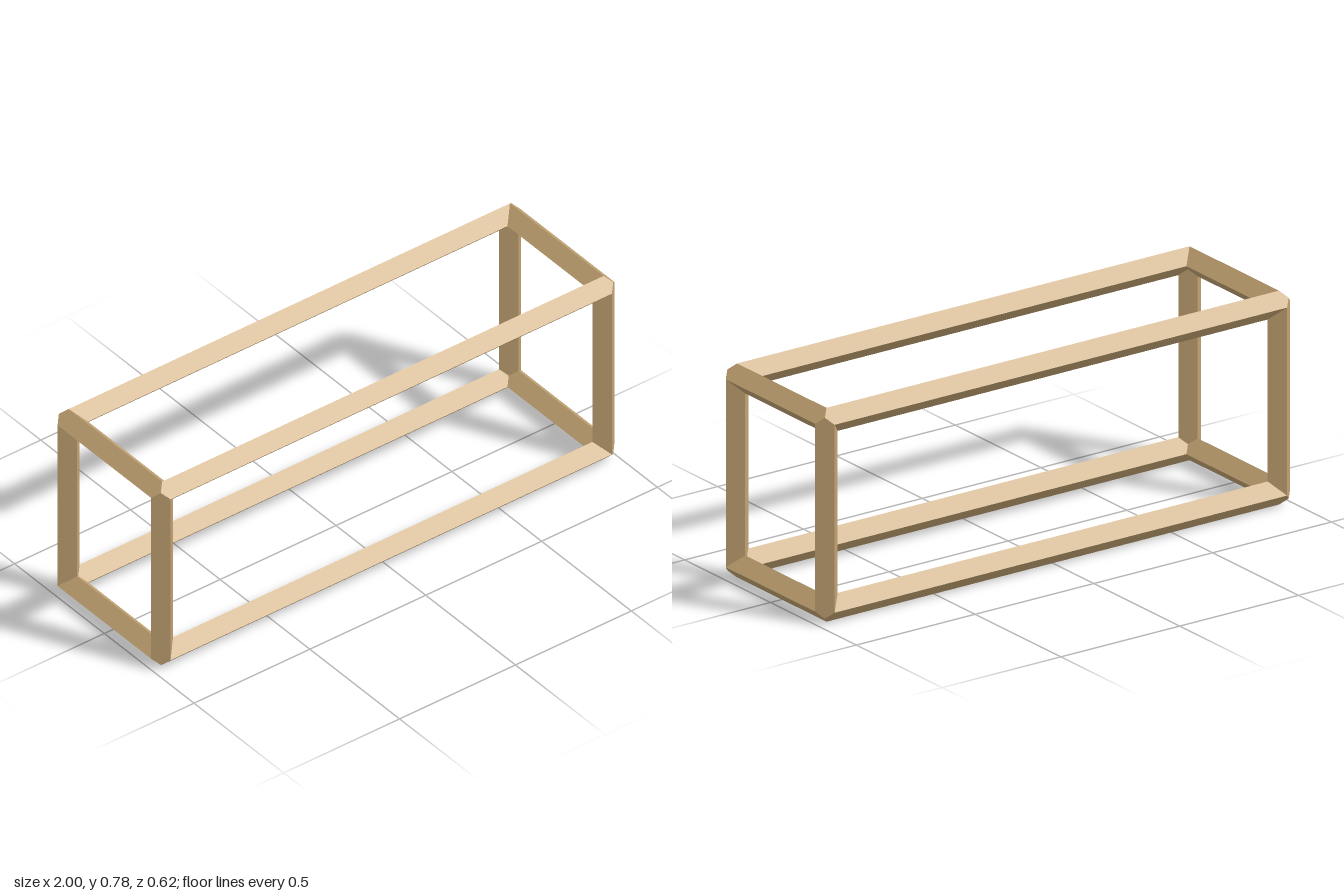
import * as THREE from 'three';

const R = 0.0475; // half diagonal of the square bars, which stand on edge
const HALF = [1 - R, 0.391 - R, 0.308 - R]; // centreline half sizes in x, y, z
const AXIS_NAMES = ['long', 'upright', 'cross'];

// Mitred end section of a bar: offsets (along, v, w) from the frame corner
const H = R / 2;
const SECTION = [
  [0, R, 0], [H, H, H], [0, 0, R],
  [-R, -R, 0], [-H, -H, -H], [-R, 0, -R],
];

// One bar along the given axis, on the sv / sw side of the other two axes
function barGeometry(axis, sv, sw) {
  const v = (axis + 1) % 3;
  const w = (axis + 2) % 3;
  const point = (end, [a, b, c]) => {
    const p = [0, 0, 0];
    p[axis] = end * (HALF[axis] + a);
    p[v] = sv * (HALF[v] + b);
    p[w] = sw * (HALF[w] + c);
    return p;
  };
  const positions = [];
  SECTION.forEach((s, i) => {
    const t = SECTION[(i + 1) % SECTION.length];
    const quad = [point(-1, s), point(-1, t), point(1, t), point(1, s)];
    if (sv * sw < 0) quad.reverse(); // mirrored bars need the other winding
    for (const k of [0, 1, 2, 0, 2, 3]) positions.push(...quad[k]);
  });
  const geometry = new THREE.BufferGeometry();
  geometry.setAttribute('position', new THREE.Float32BufferAttribute(positions, 3));
  geometry.computeVertexNormals();
  return geometry;
}

export function createModel() {
  const model = new THREE.Group();
  model.name = 'boxFrame';
  const wood = new THREE.MeshStandardMaterial({ color: 0xc2a272 });

  // Four bars along each axis, mitred together at the eight corners
  for (let axis = 0; axis < 3; axis++) {
    let n = 1;
    for (const sv of [-1, 1]) {
      for (const sw of [-1, 1]) {
        const bar = new THREE.Mesh(barGeometry(axis, sv, sw), wood);
        bar.name = `${AXIS_NAMES[axis]}Bar${n++}`;
        bar.position.y = HALF[1] + R;
        model.add(bar);
      }
    }
  }
  return model;
}
